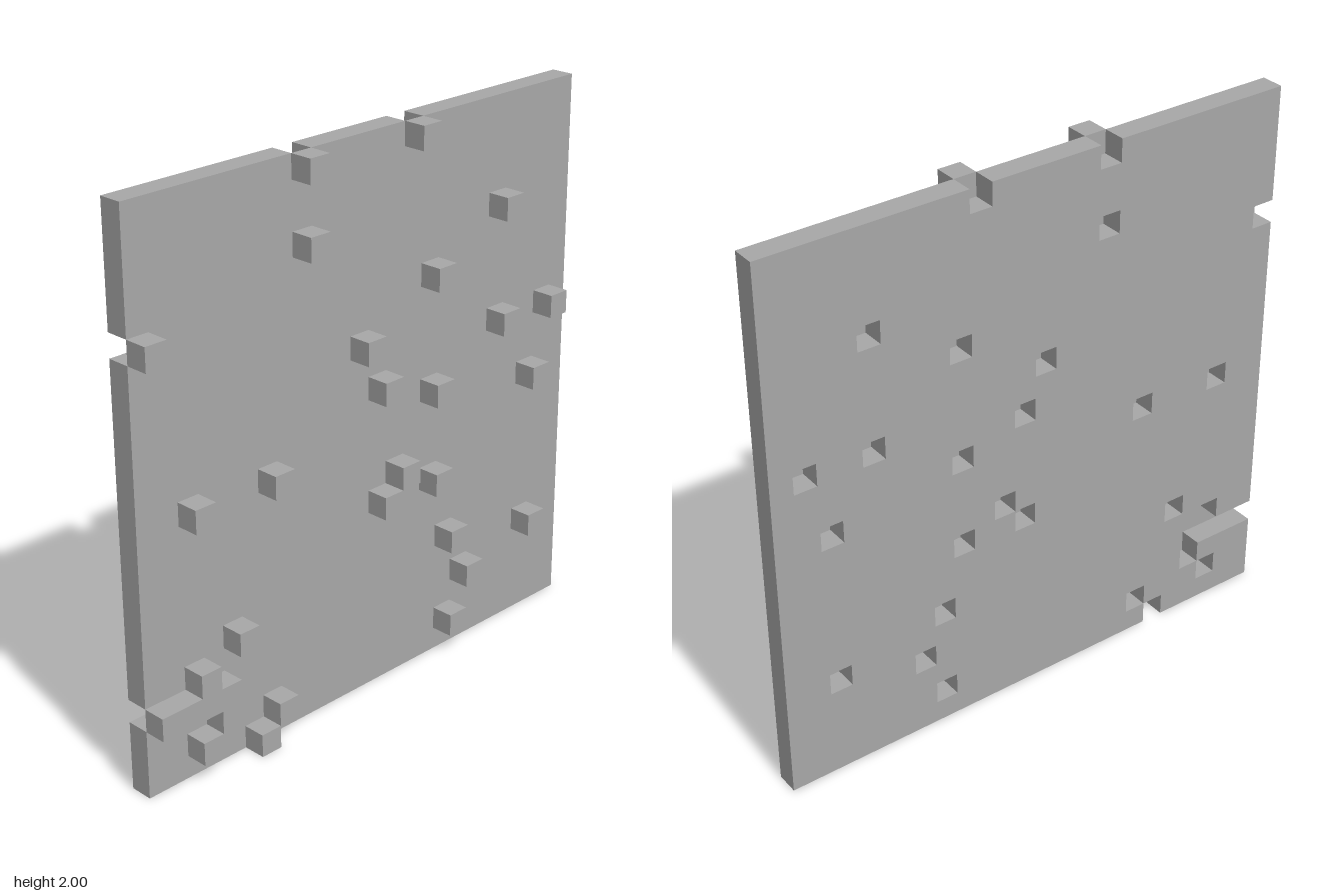
import * as THREE from 'three';
import { mergeGeometries } from 'three/addons/utils/BufferGeometryUtils.js';

const N = 24;          // cells along each side
const S = 2 / N;       // cell size

// Cells pushed forward out of the panel, as [column, row] from bottom left
const raised = [
  [8, 23], [14, 23], [8, 20], [19, 19], [0, 18], [15, 17], [11, 15],
  [19, 14], [22, 14], [12, 13], [15, 12], [2, 11], [6, 11], [21, 11],
  [13, 9], [12, 8], [15, 8], [4, 5], [16, 5], [2, 4], [21, 4], [17, 3],
  [0, 3], [1, 3], [2, 3], [3, 3], [3, 2], [16, 1], [2, 1], [6, 1], [5, 0],
];
const raisedKeys = new Set(raised.map(([c, r]) => r * N + c));
const inside = (c, r) => c >= 0 && r >= 0 && c < N && r < N;
const isRaised = (c, r) => inside(c, r) && raisedKeys.has(r * N + c);
const isPanel = (c, r) => inside(c, r) && !isRaised(c, r);

// One square face of a cell, turned about x and y to look outward
function face(x, y, z, rx, ry) {
  return new THREE.PlaneGeometry(S, S)
    .translate(0, 0, S / 2)
    .rotateX(rx)
    .rotateY(ry)
    .translate(x, y, z);
}

// A layer of cells one cell thick, with walls only where a neighbour is missing
function layer(name, filled, z, material) {
  const q = Math.PI / 2;
  const faces = [];
  for (let r = 0; r < N; r++) {
    for (let c = 0; c < N; c++) {
      if (!filled(c, r)) continue;
      const x = -1 + (c + 0.5) * S, y = (r + 0.5) * S;
      faces.push(face(x, y, z, 0, 0), face(x, y, z, 0, 2 * q));
      if (!filled(c + 1, r)) faces.push(face(x, y, z, 0, q));
      if (!filled(c - 1, r)) faces.push(face(x, y, z, 0, -q));
      if (!filled(c, r + 1)) faces.push(face(x, y, z, -q, 0));
      if (!filled(c, r - 1)) faces.push(face(x, y, z, q, 0));
    }
  }
  const mesh = new THREE.Mesh(mergeGeometries(faces), material);
  mesh.name = name;
  return mesh;
}

export function createModel() {
  const grey = new THREE.MeshStandardMaterial({ color: 0xa8a8a8 });
  grey.name = 'grey';
  const group = new THREE.Group();
  group.name = 'blockPanel';
  // Back panel with holes, and the blocks standing in front of those holes
  group.add(layer('panel', isPanel, -S / 2, grey));
  group.add(layer('raisedBlocks', isRaised, S / 2, grey));
  return group;
}
